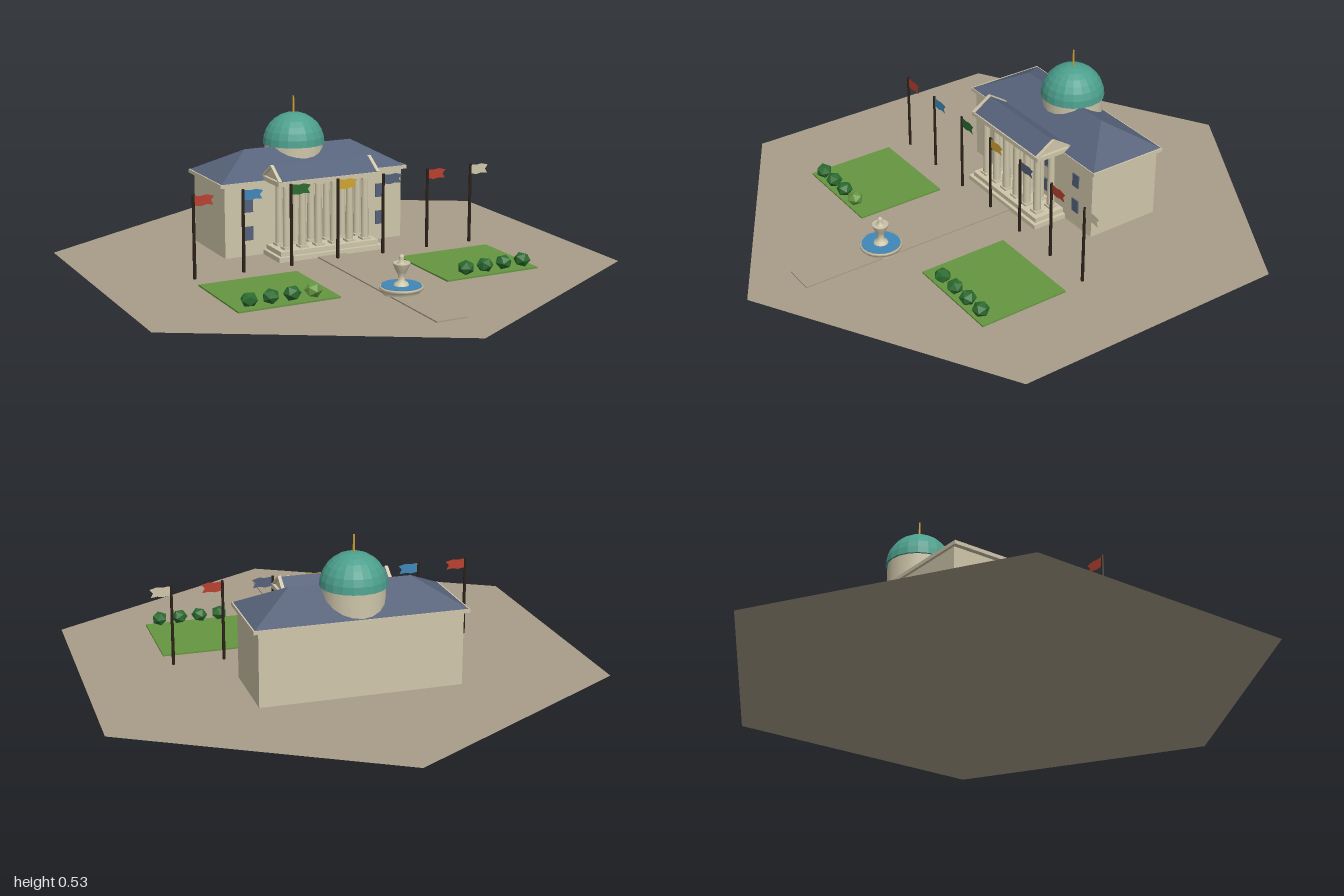
import * as THREE from 'three';

const mat = (name, color, extra = {}) => {
  const m = new THREE.MeshStandardMaterial({ color, ...extra });
  m.name = name;
  return m;
};

export function createModel() {
  const root = new THREE.Group();
  const D = { side: THREE.DoubleSide };
  const F = { flatShading: true };
  const paving = mat('paving', 0xa89d88, D);
  const stone = mat('stone', 0xcfc6aa, D);
  const slate = mat('slate', 0x56627a, { ...F, ...D });
  const copper = mat('copper', 0x4c9f8d, F);
  const grass = mat('grass', 0x669640, F);
  const leaf = mat('leaf', 0x2b6b2f, { ...F, ...D });
  const blue = mat('blue', 0x3f86b8, D);
  const iron = mat('darkIron', 0x2c2219);
  const red = mat('red', 0xb9402f, D);
  const gold = mat('gold', 0xd0a430, D);

  const add = (name, geo, material, x = 0, y = 0, z = 0, parent = root) => {
    const mesh = new THREE.Mesh(geo, material);
    mesh.name = name;
    mesh.position.set(x, y, z);
    parent.add(mesh);
    return mesh;
  };
  // Box given by its centre in x and z and its bottom and top heights
  const box = (name, material, w, d, y0, y1, x, z, parent) =>
    add(name, new THREE.BoxGeometry(w, y1 - y0, d), material, x, (y0 + y1) / 2, z, parent);
  const group = (name, x = 0, z = 0) => {
    const g = new THREE.Group();
    g.name = name;
    g.position.set(x, 0, z);
    root.add(g);
    return g;
  };

  // Hexagonal plaza and walkway
  add('plaza', new THREE.CircleGeometry(1, 6, Math.PI / 2).rotateX(-Math.PI / 2), paving);
  box('walkway', paving, 0.11, 0.9, 0.0005, 0.005, 0, 0.36);

  // Main hall with cornice
  const hall = group('hall', 0, -0.284);
  box('walls', stone, 0.704, 0.28, 0.0005, 0.257, 0, 0, hall);
  box('cornice', stone, 0.74, 0.3, 0.257, 0.27, 0, 0, hall);

  // Hipped roof: four eave corners and a ridge
  const [hx, hz, rx, y0, y1] = [0.365, 0.147, 0.213, 0.27, 0.356];
  const a = [-hx, y0, hz], b = [hx, y0, hz], c = [hx, y0, -hz], d = [-hx, y0, -hz];
  const l = [-rx, y1, 0], r = [rx, y1, 0];
  const roof = new THREE.BufferGeometry();
  roof.setAttribute('position', new THREE.Float32BufferAttribute(
    [a, b, r, a, r, l, c, d, l, c, l, r, b, c, r, d, a, l].flat(), 3));
  roof.computeVertexNormals();
  add('hippedRoof', roof, slate, 0, 0, 0, hall);

  // Front windows, two storeys
  for (const x of [-0.262, -0.088, 0.088, 0.262])
    for (const y of [0.058, 0.16])
      box('window', slate, 0.034, 0.006, y, y + 0.05, x, 0.141, hall);

  // Drum, dome and spire
  const dome = group('dome', 0, -0.321);
  add('drum', new THREE.CylinderGeometry(0.107, 0.107, 0.1, 20), stone, 0, 0.305, 0, dome);
  add('domeShell', new THREE.SphereGeometry(0.114, 20, 7, 0, Math.PI * 2, 0, Math.PI / 2),
    copper, 0, 0.355, 0, dome);
  add('domeBase', new THREE.CircleGeometry(0.113, 20).rotateX(Math.PI / 2), copper, 0, 0.3555, 0, dome);
  add('spire', new THREE.CylinderGeometry(0.003, 0.004, 0.07, 6), gold, 0, 0.493, 0, dome);

  // Portico: steps, two rows of columns, entablature and gable
  const portico = group('portico', 0, -0.09);
  box('lowerStep', stone, 0.41, 0.155, 0.0005, 0.018, 0, 0.003, portico);
  box('upperStep', stone, 0.385, 0.135, 0.018, 0.035, 0, 0, portico);
  for (const z of [0.034, -0.026])
    for (let i = 0; i < 6; i++) {
      const x = -0.155 + i * 0.062;
      add('column', new THREE.CylinderGeometry(0.012, 0.014, 0.22, 10), stone, x, 0.152, z, portico);
      box('columnBase', stone, 0.034, 0.034, 0.035, 0.043, x, z, portico);
      box('columnCapital', stone, 0.034, 0.034, 0.259, 0.268, x, z, portico);
    }
  box('entablature', stone, 0.4, 0.136, 0.268, 0.284, 0, 0, portico);
  const gable = new THREE.Shape([[-0.068, 0], [0.068, 0], [0, 0.045]]
    .map(([x, y]) => new THREE.Vector2(x, y)));
  const gableGeo = new THREE.ExtrudeGeometry(gable, { depth: 0.38, bevelEnabled: false });
  gableGeo.translate(0, 0, -0.19).rotateY(Math.PI / 2);
  add('gableRoof', gableGeo, [stone, slate], 0, 0.284, -0.005, portico);
  // Raking trim on both gable ends
  for (const side of [-1, 1])
    for (const s of [-1, 1]) {
      const trim = add('rakingTrim', new THREE.BoxGeometry(0.012, 0.008, 0.082), stone,
        side * 0.192, 0.306, -0.005 + s * 0.034, portico);
      trim.rotation.x = s * Math.atan2(0.045, 0.068);
    }

  // Row of flagpoles with swallow-tailed flags
  const flagShape = new THREE.Shape([[0, 0.288], [0.025, 0.285], [0.045, 0.288], [0.072, 0.281],
    [0.06, 0.267], [0.069, 0.251], [0.045, 0.254], [0.025, 0.25], [0, 0.254]]
    .map(([x, y]) => new THREE.Vector2(x, y)));
  [red, blue, leaf, gold, slate, red, stone].forEach((m, i) => {
    const flag = group('flagpole', -0.54 + i * 0.18, 0.036);
    add('pole', new THREE.CylinderGeometry(0.005, 0.006, 0.29, 6), iron, 0, 0.1455, 0, flag);
    add('flag', new THREE.ShapeGeometry(flagShape), m, 0.003, 0, 0, flag);
  });

  // Lawns with a row of bushes each
  for (const s of [-1, 1]) {
    box('lawn', grass, 0.36, 0.33, 0.0005, 0.006, s * 0.38, 0.285);
    for (let i = 0; i < 4; i++) {
      const pale = s < 0 && i === 0;
      const bush = add('bush', new THREE.IcosahedronGeometry(0.03, 0), pale ? grass : leaf,
        s * (0.287 + i * 0.075), 0.033, 0.425);
      bush.scale.y = 0.88;
      bush.rotation.y = i * 1.3 + s;
    }
  }

  // Fountain: basin, water, and a pedestal carrying a bowl
  const fountain = group('fountain', 0, 0.49);
  const lathe = (name, pts, n) => add(name, new THREE.LatheGeometry(
    pts.map(([x, y]) => new THREE.Vector2(x, y)), n), stone, 0, 0, 0, fountain);
  lathe('basin', [[0.062, 0.0005], [0.062, 0.014], [0.073, 0.017], [0.073, 0.027], [0.067, 0.027], [0.067, 0.02]], 20);
  add('water', new THREE.CylinderGeometry(0.067, 0.067, 0.008, 20), blue, 0, 0.0245, 0, fountain);
  lathe('pedestal', [[0.026, 0.028], [0.022, 0.036], [0.012, 0.044], [0.011, 0.062], [0.018, 0.075],
    [0.029, 0.1], [0.029, 0.105], [0.024, 0.105], [0.01, 0.1], [0.007, 0.12], [0.009, 0.128], [0, 0.133]], 14);

  return root;
}
